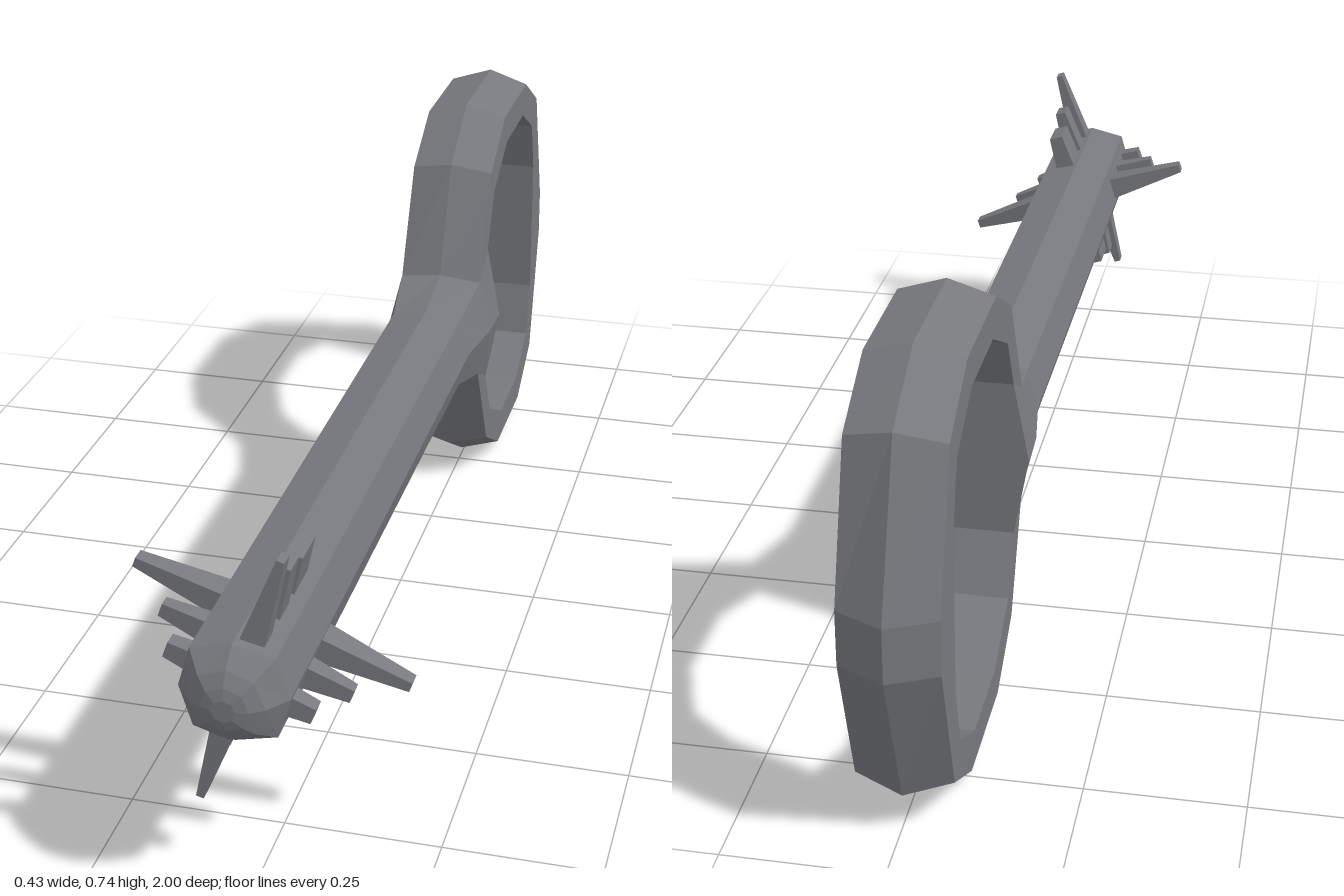
import * as THREE from 'three';

const CX = -0.005, CY = 0.375; // axis of the shaft

// Skin a list of equal-length loops of [x, y, z]; caps are optional fans
function loft(loops, { closed = false, startCap = false, endCap = false } = {}) {
  const pos = [];
  const tri = (a, b, c) => pos.push(...a, ...b, ...c);
  const n = loops[0].length;
  const spans = closed ? loops.length : loops.length - 1;
  for (let s = 0; s < spans; s++) {
    const a = loops[s], b = loops[(s + 1) % loops.length];
    for (let i = 0; i < n; i++) {
      const j = (i + 1) % n;
      tri(a[i], a[j], b[j]);
      tri(a[i], b[j], b[i]);
    }
  }
  const last = loops[loops.length - 1];
  for (let i = 1; i < n - 1; i++) {
    if (startCap) tri(loops[0][0], loops[0][i + 1], loops[0][i]);
    if (endCap) tri(last[0], last[i], last[i + 1]);
  }
  const g = new THREE.BufferGeometry();
  g.setAttribute('position', new THREE.Float32BufferAttribute(pos, 3));
  g.computeVertexNormals();
  return g;
}

// Eight-sided section: side, diagonal and top points, mirrored
function octagon(z, side, dx, dy, top, zDiag = z) {
  return [
    [side, 0, z], [dx, dy, zDiag], [0, top, z], [-dx, dy, zDiag],
    [-side, 0, z], [-dx, -dy, zDiag], [0, -top, z], [dx, -dy, zDiag],
  ];
}

// Box that narrows outwards along +y
function taperedTooth(r0, r1, w0, w1, d0, d1) {
  const g = new THREE.BoxGeometry(1, r1 - r0, 1);
  g.translate(0, (r0 + r1) / 2, 0);
  const p = g.attributes.position;
  for (let i = 0; i < p.count; i++) {
    const tip = p.getY(i) > (r0 + r1) / 2;
    p.setX(i, p.getX(i) * (tip ? w1 : w0));
    p.setZ(i, p.getZ(i) * (tip ? d1 : d0));
  }
  g.computeVertexNormals();
  return g;
}

export function createModel() {
  const model = new THREE.Group();
  const iron = new THREE.MeshStandardMaterial({ color: 0x77797e });
  iron.name = 'iron grey';
  iron.flatShading = true;
  const add = (name, geometry, parent = model) => {
    const m = new THREE.Mesh(geometry, iron);
    m.name = name;
    parent.add(m);
    return m;
  };

  // Shaft with flared collar at the back and rounded tip at the front
  const shaft = add('shaft', loft([
    octagon(-0.41, 0.1, 0.075, 0.135, 0.135),
    octagon(-0.33, 0.098, 0.075, 0.095, 0.105, -0.335),
    octagon(-0.22, 0.082, 0.063, 0.065, 0.08),
    octagon(0.95, 0.082, 0.063, 0.065, 0.08),
    octagon(0.982, 0.056, 0.041, 0.042, 0.057),
    octagon(0.995, 0.036, 0.026, 0.026, 0.036),
    octagon(1.0, 0.018, 0.013, 0.013, 0.018),
  ], { startCap: true, endCap: true }));
  shaft.position.set(CX, CY, 0);

  // Ring handle: [z, y] of inner wall, outer bevel edge and outer ridge
  const W = 0.075;
  const half = [
    [[-0.41, 0.135], [-0.335, 0.095], [-0.33, 0.105]],
    [[-0.46, 0.23], [-0.43, 0.28], [-0.418, 0.295]],
    [[-0.58, 0.293], [-0.552, 0.35], [-0.548, 0.372]],
    [[-0.74, 0.293], [-0.765, 0.35], [-0.775, 0.372]],
    [[-0.845, 0.235], [-0.89, 0.28], [-0.908, 0.3]],
    [[-0.875, 0.135], [-0.965, 0.045], [-1.0, 0.045]],
  ];
  const mirrored = half.slice().reverse().map(s => s.map(([z, y]) => [z, -y]));
  const sections = [...half, ...mirrored].map(([inn, edge, ridge]) => [
    [-W, inn[1], inn[0]], [-W, edge[1], edge[0]], [0, ridge[1], ridge[0]],
    [W, edge[1], edge[0]], [W, inn[1], inn[0]],
  ]);
  add('ringHandle', loft(sections)).position.set(CX, CY, 0);

  // Teeth: three rows on four sides, longest in front above and below,
  // longest at the back on the left and right
  const teeth = new THREE.Group();
  teeth.name = 'teeth';
  teeth.position.set(CX, CY, 0);
  model.add(teeth);
  const upright = [ // z, reach, root width, tip width, root depth, tip depth
    [0.915, 0.217, 0.042, 0.012, 0.04, 0.026],
    [0.838, 0.163, 0.042, 0.02, 0.045, 0.042],
    [0.755, 0.142, 0.042, 0.026, 0.068, 0.068],
  ];
  const sideways = [
    [0.915, 0.115, 0.038, 0.026, 0.032, 0.024],
    [0.838, 0.152, 0.042, 0.022, 0.036, 0.02],
    [0.757, 0.224, 0.046, 0.016, 0.05, 0.024],
  ];
  for (let k = 0; k < 4; k++) {
    for (const [z, reach, w0, w1, d0, d1] of k % 2 ? sideways : upright) {
      const t = add('tooth', taperedTooth(0.05, reach, w0, w1, d0, d1), teeth);
      t.position.z = z;
      t.rotation.z = k * Math.PI / 2 - (k % 2 ? 0.35 : 0.31);
    }
  }
  return model;
}
